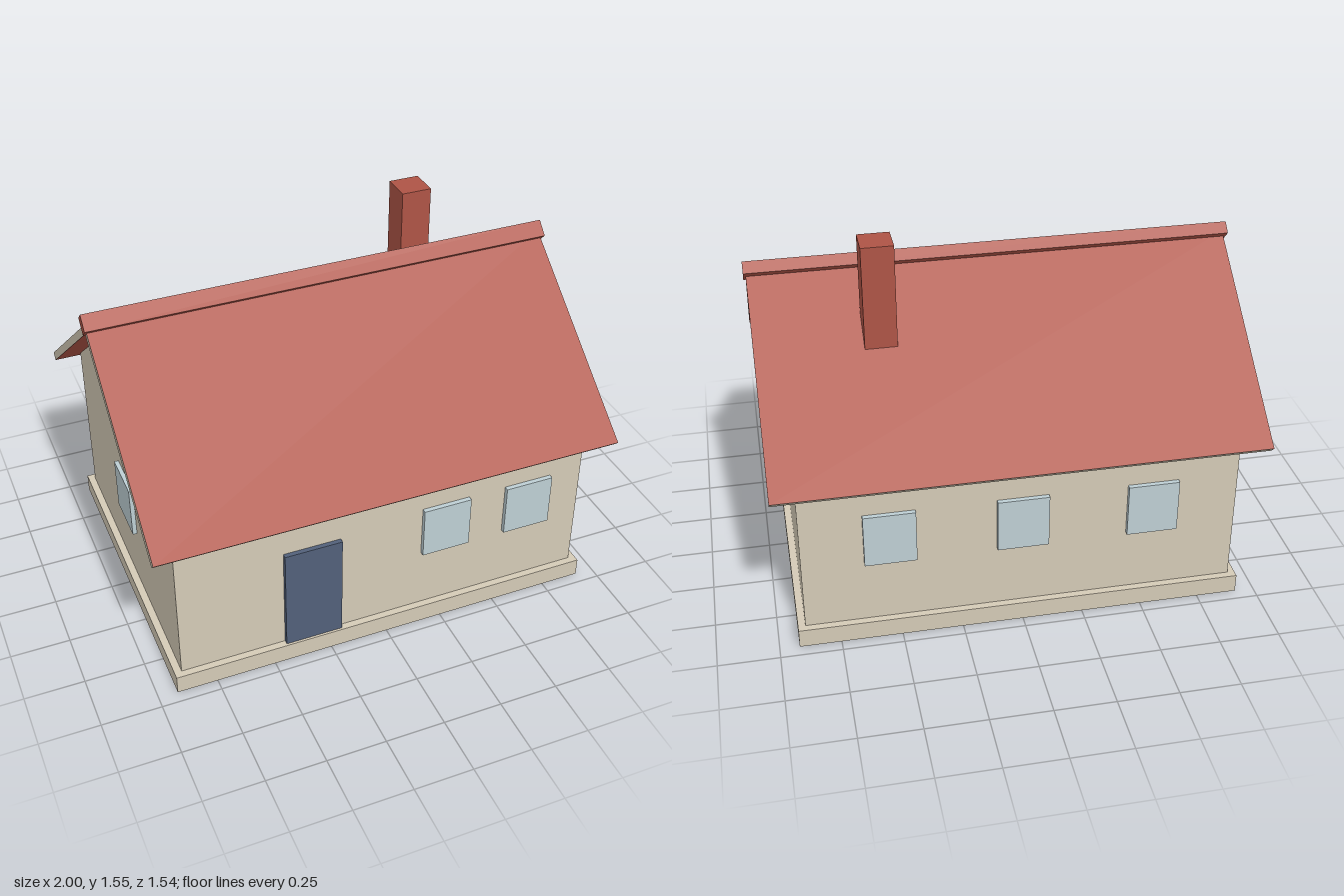
import * as THREE from 'three';

export function createModel() {
  const house = new THREE.Group();
  house.name = 'house';

  const material = (name, color) => {
    const m = new THREE.MeshStandardMaterial({ color });
    m.name = name;
    return m;
  };
  const plaster = material('cream plaster', 0xd4cab6);
  const tile = material('red tile', 0xae5446);
  const glass = material('pale blue glass', 0xbecfd4);
  const paint = material('navy paint', 0x52607a);

  const add = (name, geometry, mat) => {
    const mesh = new THREE.Mesh(geometry, mat);
    mesh.name = name;
    house.add(mesh);
    return mesh;
  };
  // Box given by its lower and upper limits on each axis
  const box = (name, mat, [x0, x1], [y0, y1], [z0, z1]) => {
    const mesh = add(name, new THREE.BoxGeometry(x1 - x0, y1 - y0, z1 - z0), mat);
    mesh.position.set((x0 + x1) / 2, (y0 + y1) / 2, (z0 + z1) / 2);
    return mesh;
  };

  // Plinth
  box('plinth', plaster, [-0.92, 0.92], [0, 0.08], [-0.7, 0.7]);

  // Walls with gables, one pentagon extruded along the length
  const gable = new THREE.Shape([
    new THREE.Vector2(-0.67, 0.08),
    new THREE.Vector2(0.67, 0.08),
    new THREE.Vector2(0.67, 0.8),
    new THREE.Vector2(0, 1.32),
    new THREE.Vector2(-0.67, 0.8),
  ]);
  const walls = new THREE.ExtrudeGeometry(gable, { depth: 1.78, bevelEnabled: false });
  walls.translate(0, 0, -0.89).rotateY(Math.PI / 2);
  add('walls', walls, plaster);

  // Roof slope: a slab sheared from the ridge down to the eave, with plaster edges
  const roofSlope = () => {
    const g = new THREE.BoxGeometry(1.98, 1, 1);
    const p = g.attributes.position;
    for (let i = 0; i < p.count; i++) {
      const top = p.getY(i) > 0;
      const eave = p.getZ(i) > 0;
      p.setZ(i, eave ? (top ? 0.77 : 0.745) : 0);
      p.setY(i, eave ? (top ? 0.755 : 0.73) : (top ? 1.352 : 1.31));
    }
    g.computeVertexNormals();
    return g;
  };
  const slabMaterials = [plaster, plaster, tile, tile, plaster, plaster];
  add('frontRoofSlope', roofSlope(), slabMaterials);
  add('backRoofSlope', roofSlope().rotateY(Math.PI), slabMaterials);

  // Ridge cap, a bar turned on its corner
  const cap = add('ridgeCap', new THREE.BoxGeometry(2, 0.052, 0.072), tile);
  cap.position.set(0, 1.353, 0);
  cap.rotation.x = Math.PI / 4;

  // Chimney
  box('chimney', tile, [0.43, 0.56], [1.08, 1.55], [-0.305, -0.175]);

  // Door
  box('door', paint, [-0.445, -0.2], [0.08, 0.55], [0.66, 0.69]);

  // Windows in the long walls
  const sill = [0.357, 0.587];
  for (const x of [0.265, 0.64]) {
    box('frontWindow', glass, [x - 0.105, x + 0.105], sill, [0.66, 0.69]);
  }
  for (const x of [-0.535, 0, 0.535]) {
    box('backWindow', glass, [x - 0.105, x + 0.105], sill, [-0.69, -0.66]);
  }

  // Windows in both gables
  for (const [side, xs] of [['left', [0.88, 0.908]], ['right', [-0.908, -0.88]]]) {
    box(side + 'LowerWindow', glass, xs, sill, [-0.11, 0.11]);
    box(side + 'AtticWindow', glass, xs, [0.94, 1.108], [-0.077, 0.077]);
  }

  return house;
}
